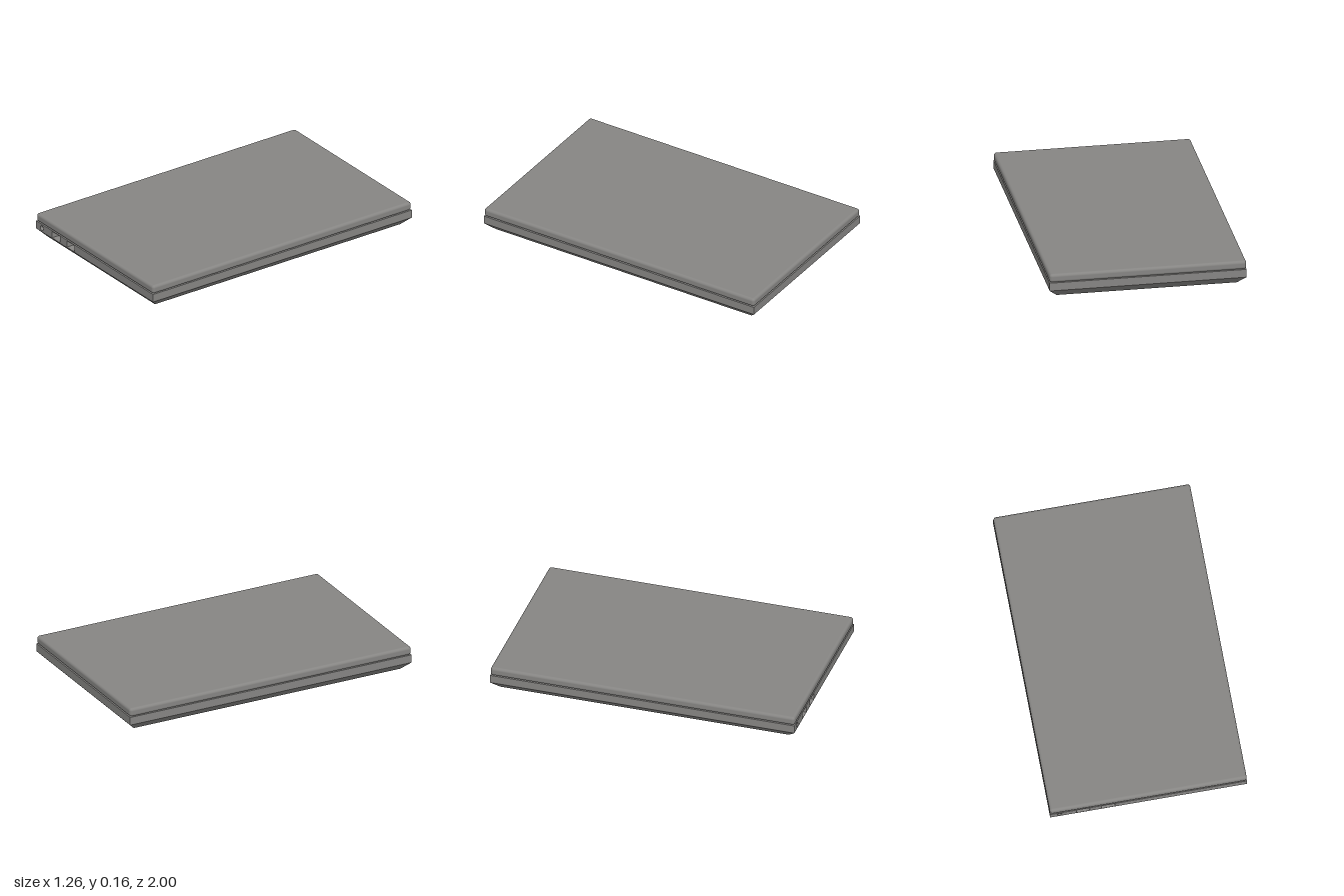
import * as THREE from 'three';
import { RoundedBoxGeometry } from 'three/addons/geometries/RoundedBoxGeometry.js';

const W = 1.256, L = 2;                     // width (x) and length (z)
const CHAMFER = 0.053, BASE_TOP = 0.106, LID_TOP = 0.162;
const PORT_DEPTH = 0.05;

export function createModel() {
  const group = new THREE.Group();
  const material = new THREE.MeshStandardMaterial({ color: 0x868583 });
  const add = (name, geometry, x, y, z) => {
    const mesh = new THREE.Mesh(geometry, material);
    mesh.name = name;
    mesh.position.set(x, y, z);
    group.add(mesh);
  };

  // Underside: a box whose lower corners are drawn inward
  const under = new THREE.BoxGeometry(W, CHAMFER, L);
  const p = under.attributes.position;
  for (let i = 0; i < p.count; i++) {
    if (p.getY(i) > 0) continue;
    p.setX(i, p.getX(i) - Math.sign(p.getX(i)) * CHAMFER);
    p.setZ(i, p.getZ(i) - Math.sign(p.getZ(i)) * CHAMFER);
  }
  under.computeVertexNormals();
  add('underside', under, 0, CHAMFER / 2, 0);

  // Main body, stopping short of the front where the ports are cut
  const bodyH = BASE_TOP - CHAMFER;
  add('baseBody', new THREE.BoxGeometry(W, bodyH, L - PORT_DEPTH),
    0, CHAMFER + bodyH / 2, -PORT_DEPTH / 2);

  // Front strip with a round socket and two rectangular ports
  const strip = new THREE.Shape();
  const rect = (path, x0, y0, x1, y1) => path
    .moveTo(x0, y0).lineTo(x1, y0).lineTo(x1, y1).lineTo(x0, y1).closePath();
  rect(strip, -W / 2, CHAMFER, W / 2, BASE_TOP);
  for (const x of [-0.46, -0.299]) {
    const port = new THREE.Path();
    rect(port, x, 0.056, x + 0.085, 0.101);
    strip.holes.push(port);
  }
  strip.holes.push(new THREE.Path().absarc(-0.567, 0.079, 0.016, 0, Math.PI * 2, true));
  add('portStrip', new THREE.ExtrudeGeometry(strip,
    { depth: PORT_DEPTH, bevelEnabled: false, curveSegments: 16 }), 0, 0, L / 2 - PORT_DEPTH);

  // Closed lid with softly rounded edges, resting on the base
  const lidH = LID_TOP - BASE_TOP;
  add('lid', new RoundedBoxGeometry(W, lidH, L, 6, 0.018),
    0, BASE_TOP + lidH / 2, 0);

  return group;
}
